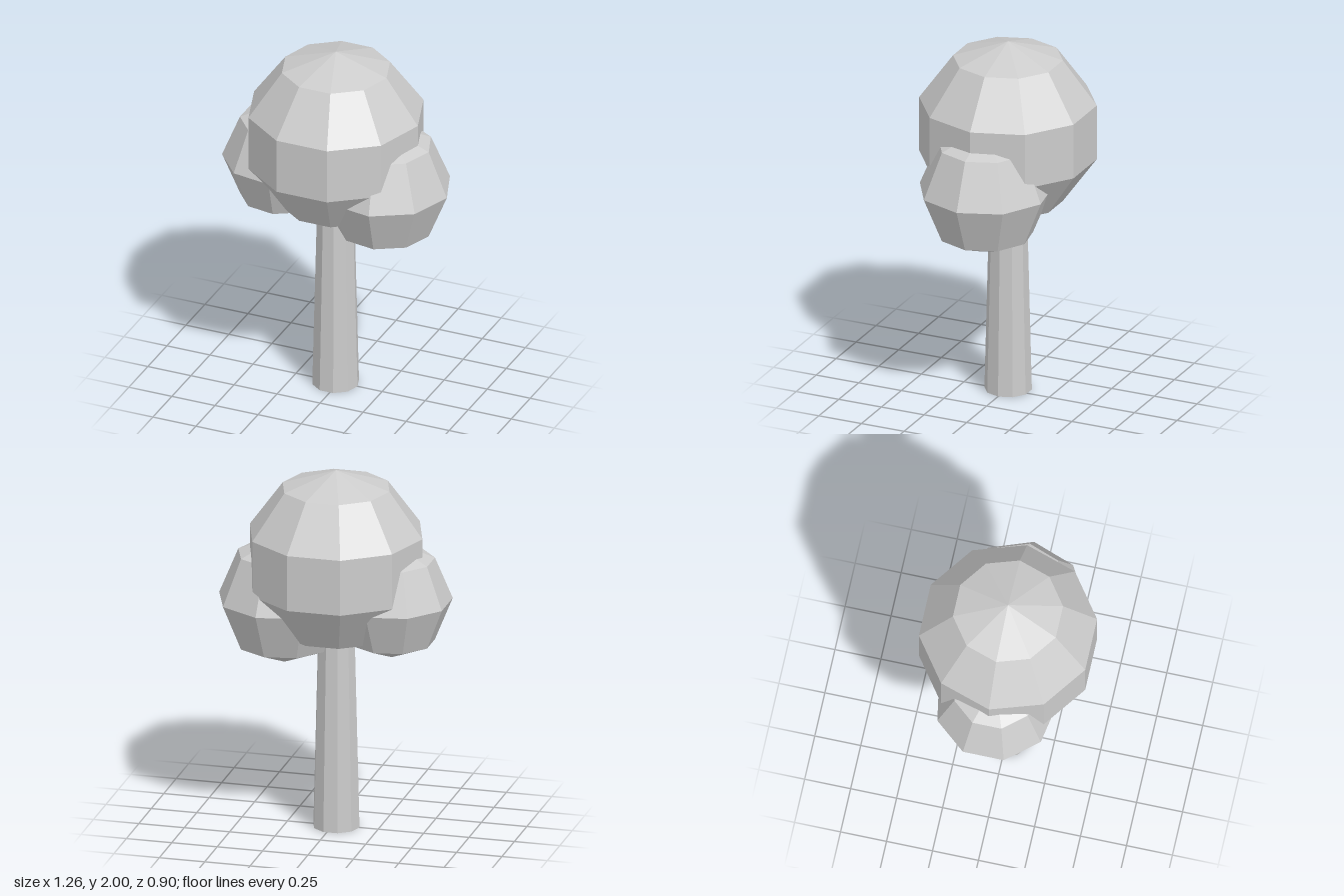
import * as THREE from 'three';

export function createModel() {
  const tree = new THREE.Group();
  tree.name = 'tree';
  const material = new THREE.MeshStandardMaterial({ color: 0xcccccc, flatShading: true });

  function addPart(name, geometry, x, y, turn) {
    const mesh = new THREE.Mesh(geometry, material);
    mesh.name = name;
    mesh.position.set(x, y, 0);
    mesh.rotation.y = turn;
    tree.add(mesh);
  }

  // Tapered ten-sided trunk, its top hidden inside the crown
  const trunkHeight = 1.1;
  addPart('trunk', new THREE.CylinderGeometry(0.1, 0.127, trunkHeight, 10), -0.02, trunkHeight / 2, Math.PI / 2);

  // Low-poly foliage: a large crown and two side clumps, each with a corner towards +x
  const foliage = [
    { name: 'crown', radius: 0.5, sides: 10, rings: 5, x: -0.018, y: 1.5 },
    { name: 'leftFoliage', radius: 0.36, sides: 9, rings: 4, x: 0.266, y: 1.255 },
    { name: 'rightFoliage', radius: 0.325, sides: 9, rings: 4, x: -0.325, y: 1.3 },
  ];
  for (const f of foliage) {
    addPart(f.name, new THREE.SphereGeometry(f.radius, f.sides, f.rings), f.x, f.y, Math.PI);
  }

  return tree;
}
